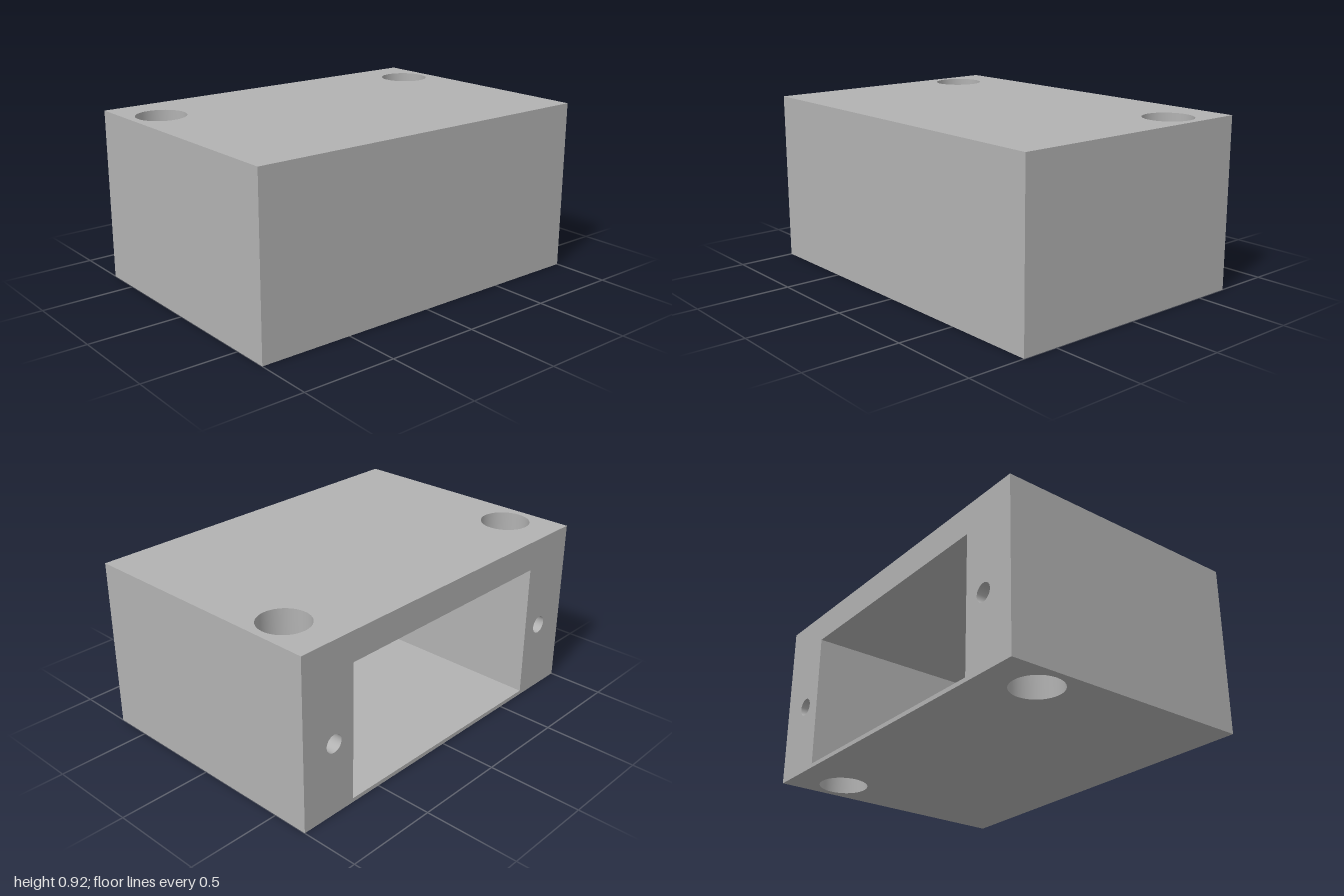
import * as THREE from 'three';

const W = 2, H = 0.915, D = 1.385;
const BORE = { x: 0.828, z: -0.41, r: 0.131 };
const SCREW = { x: 0.806, y: 0.39, r: 0.048, depth: 0.14 };
const CAVITY = { w: 1.36, y0: 0.022, y1: 0.757, depth: 1.335 };

// Turn a closed geometry inside out so it lines a hollow
function invert(geometry) {
  geometry.setIndex(Array.from(geometry.index.array).reverse());
  const n = geometry.attributes.normal;
  for (let i = 0; i < n.array.length; i++) n.array[i] *= -1;
  geometry.clearGroups();
  return geometry;
}

// Keep only some faces of a box (0 +x, 1 -x, 2 +y, 3 -y, 4 +z, 5 -z)
function boxFaces(w, h, d, faces) {
  const g = new THREE.BoxGeometry(w, h, d);
  const index = Array.from(g.index.array);
  g.setIndex(faces.flatMap((f) => index.slice(f * 6, f * 6 + 6)));
  g.clearGroups();
  return g;
}

function rectPath(Type, x0, y0, x1, y1) {
  return new Type([[x0, y0], [x1, y0], [x1, y1], [x0, y1]].map(([x, y]) => new THREE.Vector2(x, y)));
}

// Flat panel with a mirrored pair of round holes
function panel(shape, x, y, r) {
  for (const s of [-1, 1]) {
    shape.holes.push(new THREE.Path().absarc(s * x, y, r, 0, Math.PI * 2, true));
  }
  return new THREE.ShapeGeometry(shape, 32);
}

export function createModel() {
  const group = new THREE.Group();
  group.name = 'enclosure';
  const grey = new THREE.MeshStandardMaterial({ color: 0xb2b2b2 });
  grey.name = 'grey';
  const add = (name, geometry) => {
    const mesh = new THREE.Mesh(geometry, grey);
    mesh.name = name;
    group.add(mesh);
  };

  // Front and side walls
  add('outerWalls', boxFaces(W, H, D, [0, 1, 4]).translate(0, H / 2, 0));

  // Top and bottom, pierced by the two vertical bores
  const plate = () => rectPath(THREE.Shape, -W / 2, -D / 2, W / 2, D / 2);
  add('topPanel', panel(plate(), BORE.x, -BORE.z, BORE.r).rotateX(-Math.PI / 2).translate(0, H, 0));
  add('bottomPanel', panel(plate(), BORE.x, BORE.z, BORE.r).rotateX(Math.PI / 2));

  // Back frame around the opening
  const frame = rectPath(THREE.Shape, -W / 2, 0, W / 2, H);
  frame.holes.push(rectPath(THREE.Path, -CAVITY.w / 2, CAVITY.y0, CAVITY.w / 2, CAVITY.y1));
  add('backFrame', panel(frame, SCREW.x, SCREW.y, SCREW.r).rotateY(Math.PI).translate(0, 0, -D / 2));

  // Hollow interior, open at the back
  add('cavity', invert(boxFaces(CAVITY.w, CAVITY.y1 - CAVITY.y0, CAVITY.depth, [0, 1, 2, 3, 4]))
    .translate(0, (CAVITY.y0 + CAVITY.y1) / 2, -D / 2 + CAVITY.depth / 2));

  for (const [s, side] of [[1, 'left'], [-1, 'right']]) {
    // Through bores
    add(side + 'Bore', invert(new THREE.CylinderGeometry(BORE.r, BORE.r, H, 64, 1, true))
      .translate(s * BORE.x, H / 2, BORE.z));

    // Blind screw holes in the back frame
    add(side + 'ScrewHole', invert(new THREE.CylinderGeometry(SCREW.r, SCREW.r, SCREW.depth, 64, 1, true))
      .rotateX(Math.PI / 2).translate(s * SCREW.x, SCREW.y, -D / 2 + SCREW.depth / 2));
    add(side + 'ScrewHoleEnd', new THREE.CircleGeometry(SCREW.r, 64)
      .rotateY(Math.PI).translate(s * SCREW.x, SCREW.y, -D / 2 + SCREW.depth));
  }
  return group;
}
